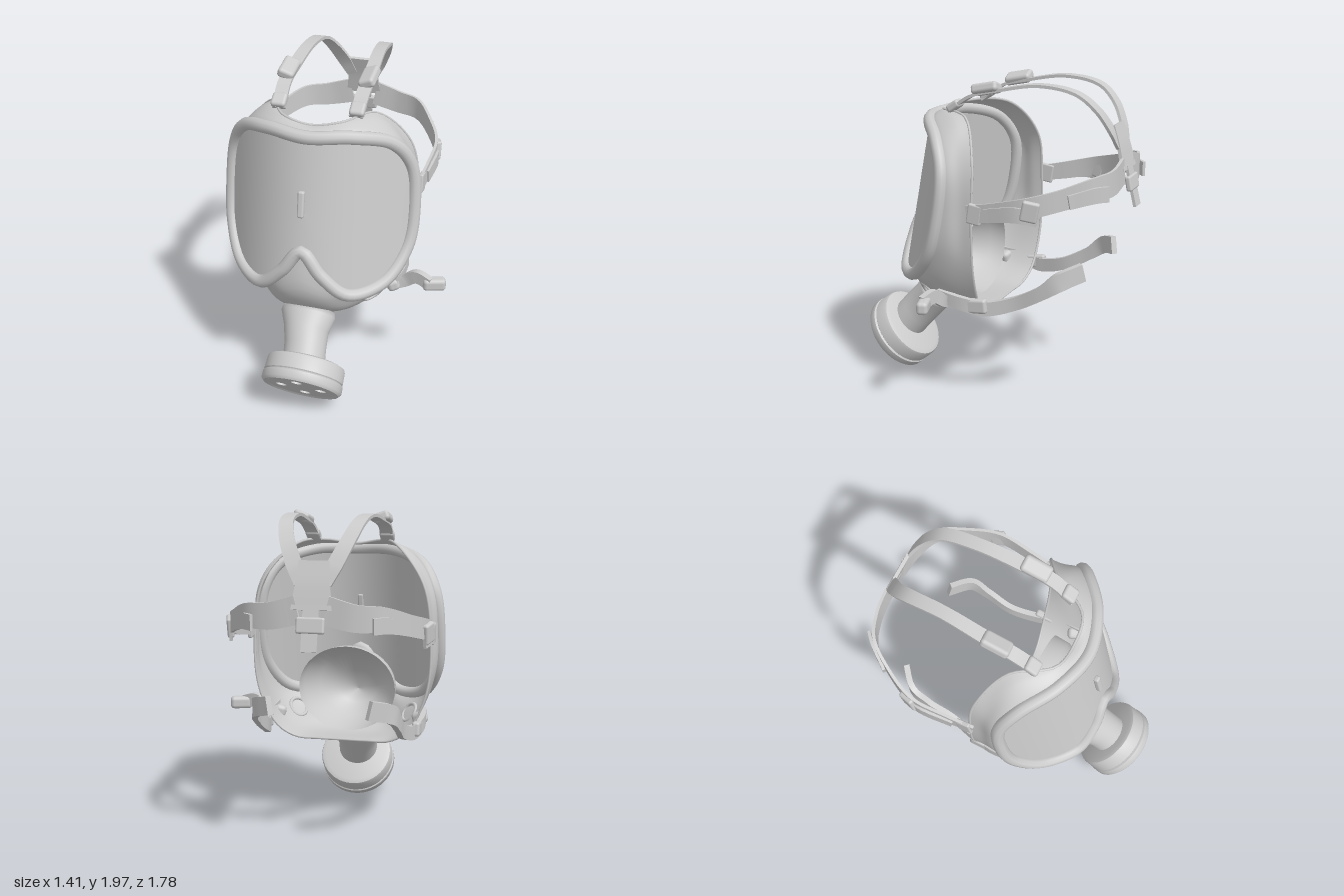
import * as THREE from 'three';
import { toCreasedNormals } from 'three/addons/utils/BufferGeometryUtils.js';
import { RoundedBoxGeometry } from 'three/addons/geometries/RoundedBoxGeometry.js';

const mat = new THREE.MeshStandardMaterial({ color: 0xcccccc, side: THREE.DoubleSide });
const V = (x, y, z) => new THREE.Vector3(x, y, z);

function part(parent, name, geometry) {
  const mesh = new THREE.Mesh(geometry, mat);
  mesh.name = name;
  parent.add(mesh);
  return mesh;
}

// Surface through rings of points; each ring closes on itself
function loft(rings) {
  const n = rings[0].length, pos = [], idx = [];
  rings.forEach(r => r.forEach(p => pos.push(p.x, p.y, p.z)));
  for (let j = 0; j < rings.length - 1; j++)
    for (let i = 0; i < n; i++) {
      const a = j * n + i, b = j * n + (i + 1) % n;
      idx.push(a, a + n, b, b, a + n, b + n);
    }
  const g = new THREE.BufferGeometry();
  g.setAttribute('position', new THREE.Float32BufferAttribute(pos, 3));
  g.setIndex(idx);
  g.computeVertexNormals();
  return g;
}

// Ring of points from an angle rule
const ring = rule => Array.from({ length: 40 }, (_, i) => {
  const a = i / 40 * Math.PI * 2;
  return V(...rule(Math.cos(a), Math.sin(a)));
});

// Closed symmetric curve from its +x half, listed top centre to bottom centre
function loopCurve(half) {
  const right = half.map(p => V(...p));
  const left = right.slice(1, -1).reverse().map(p => V(-p.x, p.y, p.z));
  return new THREE.CatmullRomCurve3([...right, ...left], true);
}
const N = 108;
const sample = curve => Array.from({ length: N }, (_, i) => curve.getPoint(i / N));

// Strap: flat band swept along points [x, y, z, width]
function band(points, widthAxis, thickness = 0.018) {
  const curve = new THREE.CatmullRomCurve3(points.map(p => V(p[0], p[1], p[2])));
  const steps = points.length * 7, rings = [];
  for (let i = 0; i <= steps; i++) {
    const t = i / steps, f = t * (points.length - 1);
    const k = Math.min(Math.floor(f), points.length - 2);
    const w = THREE.MathUtils.lerp(points[k][3], points[k + 1][3], f - k) / 2;
    const c = curve.getPoint(t), tan = curve.getTangent(t);
    const side = widthAxis.clone().addScaledVector(tan, -widthAxis.dot(tan)).normalize();
    const up = tan.clone().cross(side).multiplyScalar(thickness / 2);
    const section = [[1, 1], [1, -1], [-1, -1], [-1, 1]].map(([a, b]) =>
      c.clone().addScaledVector(side, a * w).addScaledVector(up, b));
    if (i === 0) rings.push(section.map(() => c.clone()));
    rings.push(section);
    if (i === steps) rings.push(section.map(() => c.clone()));
  }
  return toCreasedNormals(loft(rings), 0.7);
}

function block(parent, name, size, position, rotation = [0, 0, 0]) {
  const m = part(parent, name, new RoundedBoxGeometry(...size, 2, Math.min(...size) * 0.35));
  m.position.set(...position);
  m.rotation.set(...rotation);
}

// Curved window: leans forward downwards and wraps back at the sides
const windowZ = (x, y) => 0.42 + (1.75 - y) * 0.19 - 1.12 * x * x;

function buildFace(mask) {
  const rim = loopCurve([[0, 1.735], [0.25, 1.735], [0.45, 1.66], [0.545, 1.5], [0.573, 1.25],
    [0.555, 1.0], [0.45, 0.82], [0.27, 0.79], [0.12, 0.92], [0, 1.06]].map(([x, y]) => [x, y, windowZ(x, y)]));
  const front = loopCurve([[0, 1.765, 0.38], [0.25, 1.765, 0.32], [0.44, 1.69, 0.17], [0.545, 1.5, 0.09],
    [0.57, 1.25, 0.08], [0.56, 1.0, 0.11], [0.47, 0.78, 0.28], [0.29, 0.72, 0.43], [0.15, 0.74, 0.54], [0, 0.77, 0.575]]);
  const middle = loopCurve([[0, 1.77, 0.35], [0.2, 1.79, 0.3], [0.38, 1.75, 0.12], [0.52, 1.52, 0.03],
    [0.55, 1.25, 0.01], [0.54, 0.95, 0.03], [0.45, 0.7, 0.15], [0.33, 0.61, 0.27], [0.19, 0.57, 0.38], [0, 0.56, 0.41]]);
  const back = loopCurve([[0, 1.77, 0.33], [0.17, 1.795, 0.3], [0.32, 1.78, 0.08], [0.5, 1.56, -0.045],
    [0.55, 1.25, -0.06], [0.53, 0.9, -0.06], [0.42, 0.66, -0.05], [0.3, 0.58, -0.03], [0.15, 0.57, -0.02], [0, 0.57, -0.02]]);

  // Rubber shell from the window rim to the opening at the back
  const keys = [rim, front, middle, back].map(sample);
  const lines = keys[0].map((_, i) => new THREE.CatmullRomCurve3(keys.map(k => k[i])));
  part(mask, 'faceShell', loft(Array.from({ length: 16 }, (_, j) => lines.map(l => l.getPoint(j / 15)))));
  part(mask, 'shellEdge', new THREE.TubeGeometry(back, N, 0.008, 6, true));
  part(mask, 'windowRim', new THREE.TubeGeometry(rim, 140, 0.04, 10, true));

  const paneRings = Array.from({ length: 13 }, (_, j) => keys[0].map(p => {
    const s = j / 12, x = p.x * s, y = 1.3 + (p.y - 1.3) * s;
    return V(x, y, windowZ(x, y));
  }));
  part(mask, 'windowPane', loft(paneRings.reverse()));
  block(mask, 'windowClip', [0.04, 0.16, 0.035], [-0.01, 1.35, windowZ(0, 1.35) + 0.012], [-0.19, 0, 0]);

  // Inner cup over nose and mouth
  part(mask, 'innerCup', loft([[0.31, 0.27, 0.87, 0.1], [0.3, 0.26, 0.87, 0.2], [0.23, 0.21, 0.85, 0.35], [0.13, 0.11, 0.81, 0.46], [0.001, 0.001, 0.79, 0.49]]
    .map(([rx, ry, y, z]) => ring((c, s) => [rx * c, y + ry * s, z]))));

  // Cheek valves beside the chin
  for (const s of [-1, 1]) {
    const valve = part(mask, 'cheekValve', new THREE.TorusGeometry(0.062, 0.012, 8, 24));
    valve.position.set(s * 0.37, 0.685, 0.315);
    valve.lookAt(s * (0.37 + 0.26) - 0.09, 0.475, 0.515);
  }
}

function buildFilter(mask) {
  const filter = new THREE.Group();
  filter.name = 'filter';
  filter.position.set(0.042, 0.508, 0.378);
  filter.quaternion.setFromUnitVectors(V(0, 1, 0), V(0, -0.633, 0.774).normalize());
  mask.add(filter);

  // Neck: wide snout at the chin narrowing into a round pipe, [rx, rz, x, y, z]
  part(filter, 'neck', loft([[0.001, 0.001, -0.04, 0, -0.085], [0.165, 0.12, -0.04, 0, -0.085], [0.17, 0.125, -0.04, 0.03, -0.08],
    [0.14, 0.125, -0.035, 0.12, -0.065], [0.13, 0.125, -0.02, 0.22, -0.05], [0.13, 0.125, -0.01, 0.33, -0.03]]
    .map(([rx, rz, x, y, z]) => ring((c, s) => [x + rx * c, y, z - rz * s]).reverse())));

  const profile = [[0.001, 0.3], [0.21, 0.3], [0.235, 0.31], [0.241, 0.325], [0.244, 0.4], [0.238, 0.406],
    [0.248, 0.414], [0.248, 0.455], [0.232, 0.472], [0.2, 0.463]];
  part(filter, 'canister', toCreasedNormals(
    new THREE.LatheGeometry(profile.map(p => new THREE.Vector2(...p)), 48), 0.8));

  // Perforated front plate
  const disc = new THREE.Shape().absarc(0, 0, 0.21, 0, Math.PI * 2);
  for (let i = 0; i < 4; i++) {
    const a = i * Math.PI / 2;
    disc.holes.push(new THREE.Path().absarc(0.125 * Math.cos(a), 0.125 * Math.sin(a), 0.034, 0, Math.PI * 2, true));
  }
  const plate = part(filter, 'filterPlate', new THREE.ExtrudeGeometry(disc, { depth: 0.02, bevelEnabled: false, curveSegments: 24 }));
  plate.rotation.x = -Math.PI / 2;
  plate.position.y = 0.446;
}

function buildHarness(mask) {
  const X = V(1, 0, 0), Y = V(0, 1, 0);
  for (const s of [-1, 1]) {
    const side = pts => pts.map(([x, ...rest]) => [s * x, ...rest]);

    // Strap over the top of the head, curving in to the back plate
    part(mask, 'topStrap', band(side([[0.23, 1.8, 0.22, 0.08], [0.24, 1.9, 0.08, 0.08], [0.235, 1.945, -0.1, 0.08],
      [0.22, 1.985, -0.35, 0.075], [0.205, 1.95, -0.57, 0.08], [0.17, 1.86, -0.68, 0.085], [0.115, 1.74, -0.75, 0.09], [0.07, 1.64, -0.785, 0.07]]), X));
    block(mask, 'topStrapTab', [0.09, 0.05, 0.09], [s * 0.235, 1.835, 0.19], [0.6, 0, 0]);
    block(mask, 'topBuckle', [0.1, 0.06, 0.17], [s * 0.245, 1.95, -0.02], [0.2, 0, s * 0.35]);

    // Strap around the side of the head
    part(mask, 'sideStrap', band(side([[0.08, 1.5, -0.82, 0.16], [0.24, 1.46, -0.81, 0.15], [0.38, 1.45, -0.755, 0.14],
      [0.5, 1.4, -0.6, 0.12], [0.58, 1.35, -0.42, 0.12], [0.575, 1.3, -0.2, 0.11], [0.56, 1.27, -0.04, 0.1]]), Y));
    block(mask, 'sideBuckle', [0.04, 0.12, 0.1], [s * 0.585, 1.335, -0.44], [-0.2, s * 0.3, 0]);
    block(mask, 'sideAnchor', [0.03, 0.12, 0.09], [s * 0.565, 1.275, -0.09], [-0.15, 0, 0]);
    part(mask, 'sideLooseEnd', band(side([[0.57, 1.29, -0.48, 0.08], [0.6, 1.31, -0.36, 0.09], [0.585, 1.28, -0.16, 0.08]]), Y));
    part(mask, 'backLooseEnd', band(side([[0.34, 1.42, -0.82, 0.09], [0.4, 1.42, -0.765, 0.09], [0.5, 1.39, -0.64, 0.08]]), Y));

    // Loose lower strap
    part(mask, 'lowerStrap', band(side([[0.48, 0.72, 0.2, 0.07], [0.49, 0.69, 0.04, 0.08], [0.46, 0.665, -0.1, 0.09], [0.42, 0.71, -0.28, 0.08],
      [0.42, 0.8, -0.45, 0.08], [0.4, 0.88, -0.56, 0.11], [0.29, 0.92, -0.66, 0.11]]), Y, 0.035));
    block(mask, 'lowerBuckle', [0.05, 0.09, 0.13], [s * 0.475, 0.68, -0.06], [0.1, 0, 0]);
    block(mask, 'lowerAnchor', [0.08, 0.08, 0.1], [s * 0.46, 0.69, 0.17], [0, s * 0.4, s * 0.3]);
  }

  // Plate joining the straps behind the head, with its buckle and tail
  part(mask, 'backPlate', band([[0, 1.76, -0.75, 0.17], [0, 1.64, -0.79, 0.19], [0, 1.5, -0.825, 0.23]], X, 0.02));
  block(mask, 'backBuckle', [0.16, 0.09, 0.035], [0, 1.42, -0.85], [0.2, 0, 0]);
  part(mask, 'backTail', band([[0, 1.52, -0.825, 0.09], [0, 1.38, -0.86, 0.09], [0, 1.28, -0.885, 0.09]], X));

  // Strap end sticking out on the left
  part(mask, 'outerStrap', band([[0.45, 0.67, 0.16, 0.06], [0.53, 0.7, 0.14, 0.07], [0.61, 0.755, 0.16, 0.08], [0.7, 0.735, 0.19, 0.08]], Y, 0.04));
  block(mask, 'outerStrapEnd', [0.14, 0.08, 0.07], [0.72, 0.73, 0.17], [0, 0.3, 0]);
}

export function createModel() {
  const model = new THREE.Group();
  model.name = 'gasMask';
  const mask = new THREE.Group();
  mask.name = 'mask';
  mask.position.x = -0.09;
  model.add(mask);
  buildFace(mask);
  buildFilter(mask);
  buildHarness(mask);
  return model;
}
